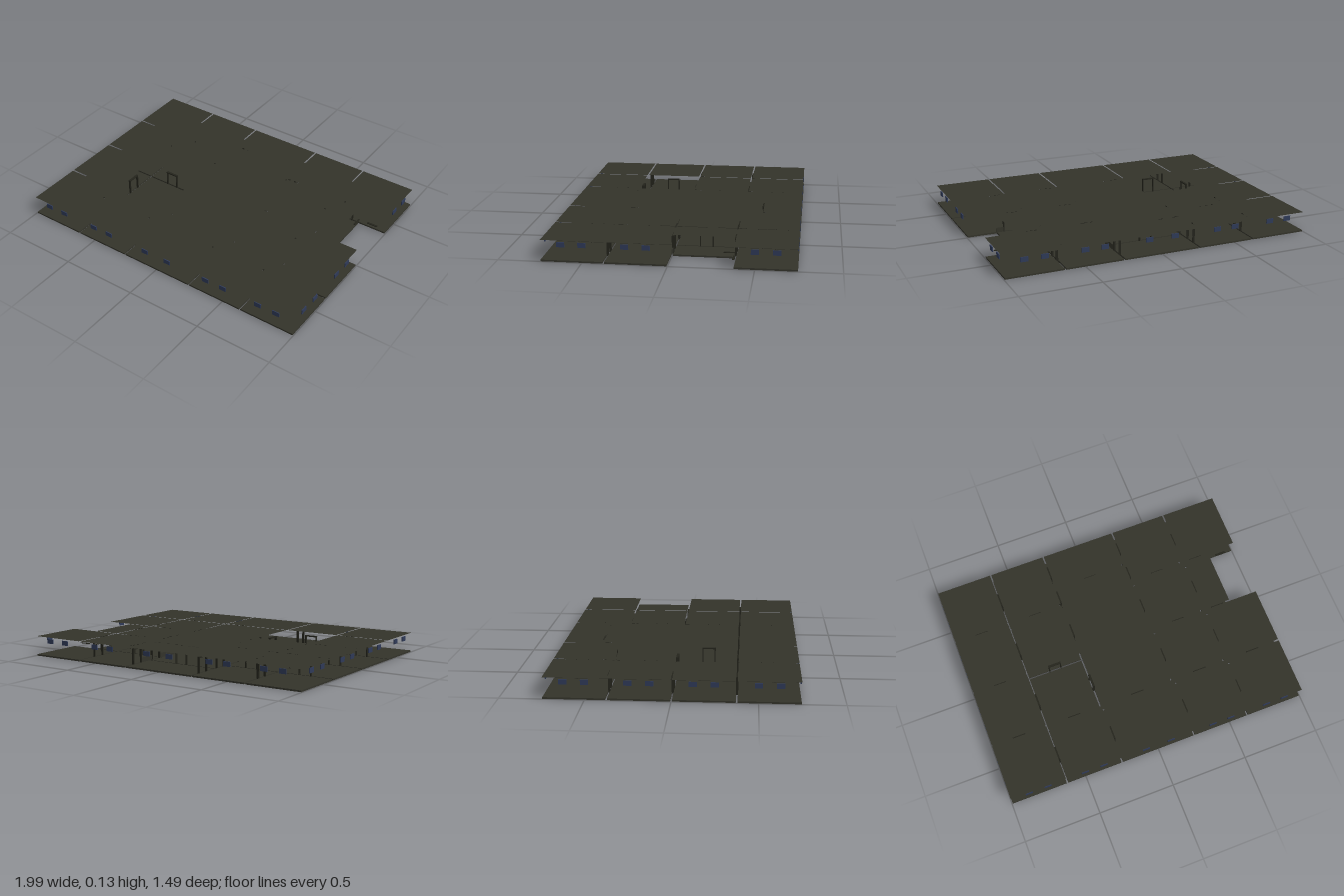
import * as THREE from 'three';

export function createModel() {
  const model = new THREE.Group();
  const mat = (name, color, side = THREE.FrontSide) => {
    const m = new THREE.MeshStandardMaterial({ color, side });
    m.name = name;
    return m;
  };
  const slab = mat('dark olive', 0x33332a);
  const sheet = mat('dark olive sheet', 0x33332a, THREE.DoubleSide);
  const frame = mat('frame black', 0x24241c);
  const glass = mat('window blue', 0x2f3a58);

  const box = (parent, name, material, w, h, d, x, y, z) => {
    const m = new THREE.Mesh(new THREE.BoxGeometry(w, h, d), material);
    m.name = name;
    m.position.set(x, y, z);
    parent.add(m);
  };

  const FLOOR = 0.01, CEILING = 0.13, GAP = 0.005;

  // Rooms as [x0, x1, z0, z1, open to the sky]
  const rooms = [];
  const rows = [-0.75, -0.375, 0, 0.375, 0.75];
  for (const [x0, x1] of [[-1, -0.625], [-0.625, -0.25], [0.25, 0.625], [0.625, 1]]) {
    for (let i = 0; i < 4; i++) {
      const end = x0 === 0.625 && i === 1 ? 0.81 : x1; // shortened room beside the notch
      rooms.push([x0, end, rows[i], rows[i + 1], x0 === -0.625 && i === 2]);
    }
  }
  rooms.push([-0.25, 0.25, -0.75, -0.5], [-0.25, 0.25, -0.5, 0.375], [-0.25, 0.25, 0.375, 0.75]);

  for (const [x0, x1, z0, z1, open] of rooms) {
    const w = x1 - x0 - 2 * GAP, d = z1 - z0 - 2 * GAP;
    const x = (x0 + x1) / 2, z = (z0 + z1) / 2;
    box(model, 'floor', slab, w, FLOOR, d, x, FLOOR / 2, z);
    if (open) continue;
    const ceiling = new THREE.Mesh(new THREE.PlaneGeometry(w, d), sheet);
    ceiling.name = 'ceiling';
    ceiling.rotation.x = -Math.PI / 2;
    ceiling.position.set(x, CEILING, z);
    model.add(ceiling);
  }

  // Doorway: two posts and a lintel, turned when it stands in a side wall
  const doorway = (x, z, turned) => {
    const g = new THREE.Group();
    g.name = 'doorFrame';
    for (const s of [-1, 1]) box(g, 'doorPost', frame, 0.006, 0.11, 0.014, s * 0.039, 0.055, 0);
    box(g, 'lintel', frame, 0.084, 0.008, 0.014, 0, 0.106, 0);
    g.position.set(x, 0, z);
    if (turned) g.rotation.y = Math.PI / 2;
    model.add(g);
  };
  for (const x of [-0.8125, -0.4375, 0, 0.4375, 0.8125]) doorway(x, 0.375, false);
  for (const z of [0, -0.375]) for (const x of [-0.8125, -0.4375, 0.4375, 0.72]) doorway(x, z, false);
  doorway(0, -0.5, false);
  for (const s of [-1, 1]) {
    for (const z of [-0.63, -0.44, -0.1875, 0.1875, 0.5625]) doorway(s * 0.25, z, true);
    for (const z of [-0.5625, -0.1875, 0.1875, 0.5625]) doorway(s * 0.625, z, true);
  }

  // Low wall panels between the doorways
  for (const [z0, z1] of [[-0.145, 0.15], [-0.4, -0.225], [-0.585, -0.48]]) {
    box(model, 'lowWall', slab, 0.004, 0.03, z1 - z0, 0.25, 0.025, (z0 + z1) / 2);
  }
  box(model, 'lowWall', slab, 0.045, 0.03, 0.004, 0.783, 0.025, 0);

  // Ledges in the notch corner
  box(model, 'ledge', frame, 0.07, 0.004, 0.014, 0.905, 0.038, -0.374);
  box(model, 'ledge', frame, 0.012, 0.004, 0.065, 0.81, 0.038, -0.34);

  // Pairs of high windows around the outside
  const windowPane = (w, d, x, z) => box(model, 'window', glass, w, 0.03, d, x, 0.105, z);
  for (const z of [-0.743, 0.743]) {
    for (const x of [-0.8125, -0.4375, 0, 0.4375, 0.8125]) {
      const off = x === 0 ? 0.085 : 0.0625;
      for (const s of [-1, 1]) windowPane(0.047, 0.006, x + s * off, z);
    }
  }
  for (const x of [-0.993, 0.993]) {
    for (const z of [-0.5625, -0.1875, 0.1875, 0.5625]) {
      if (x > 0 && z === -0.1875) continue;
      for (const s of [-1, 1]) windowPane(0.006, 0.047, x, z + s * 0.0625);
    }
  }
  return model;
}
